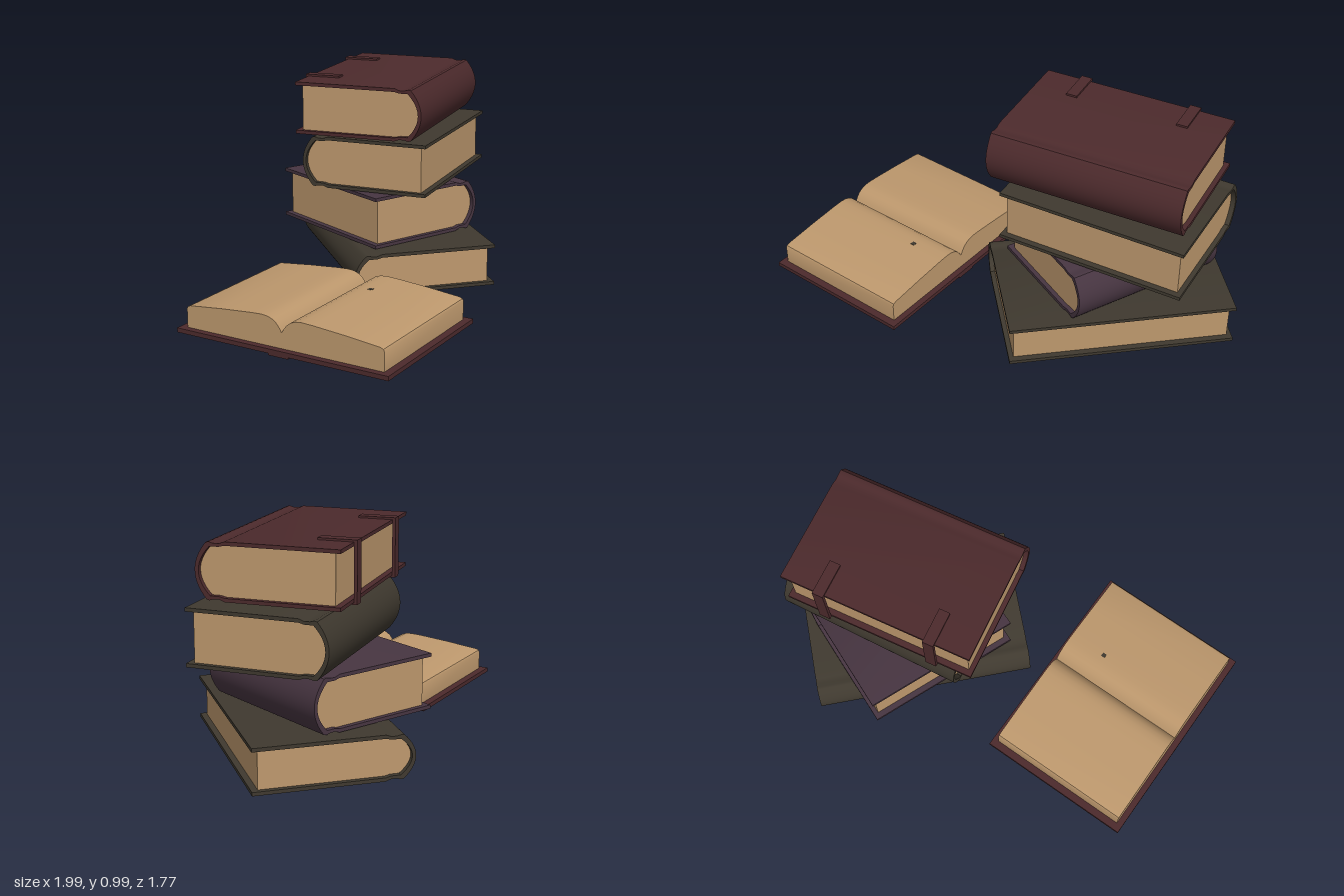
import * as THREE from 'three';
import { toCreasedNormals } from 'three/addons/utils/BufferGeometryUtils.js';

const mat = (name, color) => {
  const m = new THREE.MeshStandardMaterial({ color });
  m.name = name;
  return m;
};

// Extrude a (z, y) outline along x, centred on x = 0
function slab(name, points, length, material) {
  const shape = new THREE.Shape(points.map(([z, y]) => new THREE.Vector2(z, y)));
  const geo = new THREE.ExtrudeGeometry(shape, { depth: length, bevelEnabled: false });
  geo.translate(0, 0, -length / 2);
  geo.rotateY(-Math.PI / 2);
  const mesh = new THREE.Mesh(toCreasedNormals(geo, 0.6), material);
  mesh.name = name;
  return mesh;
}

// Rounded back: points from top to bottom, bulging to z = edge
function spineArc(edge, half, bulge) {
  const pts = [];
  for (let i = 0; i <= 16; i++) {
    const s = 1 - i / 8;
    pts.push([edge - bulge * s * s, half * s]);
  }
  return pts;
}

const flip = (pts) => pts.map(([z, y]) => [z, -y]).reverse();

// Closed book lying flat, spine towards local +z
function closedBook(name, { length, width, height, y, x, z, angle, cover }, paper) {
  const book = new THREE.Group();
  book.name = name;
  const e = width / 2, h = height / 2, t = 0.016, bulge = 0.05;

  // One wrapped cover: boards, hinge grooves and rounded spine
  const boardTop = [[-e, h], [e - 0.13, h], [e - 0.105, h - 0.009], [e - 0.08, h - 0.008], [e - 0.062, h - 0.003]];
  const outer = [...boardTop, ...spineArc(e, h - 0.006, bulge), ...flip(boardTop)];
  const inner = [[-e, h - t], [e - 0.13, h - t], [e - 0.105, h - t - 0.006],
    ...spineArc(e - t, h - t - 0.006, bulge),
    [e - 0.105, -h + t + 0.006], [e - 0.13, -h + t], [-e, -h + t]];
  book.add(slab('cover', [...outer, ...inner.slice().reverse()], length, cover));

  // Page block, set in from the boards
  const f = -e + 0.028;
  const pages = [[f, h - t], ...inner.slice(1, -1), [f, -h + t]];
  book.add(slab('pages', pages, length - 0.044, paper));

  book.position.set(x, y + h, z);
  book.rotation.y = THREE.MathUtils.degToRad(angle);
  return book;
}

// Straps folded round the fore edge
function addStraps(book, { width, height, cover }) {
  const e = width / 2, h = height / 2;
  const back = -e - 0.014, tip = -e + 0.155, o = h + 0.009;
  const outline = [[tip, o], [back, o], [back, -o], [tip, -o], [tip, -h], [-e, -h], [-e, h], [tip, h]];
  for (const side of [-1, 1]) {
    const strap = slab('strap', outline, 0.052, cover);
    strap.position.x = side * 0.265;
    book.add(strap);
  }
}

function openBook(cover, paper, ink) {
  const book = new THREE.Group();
  book.name = 'openBook';

  const boards = new THREE.Mesh(new THREE.BoxGeometry(0.754, 0.02, 1.054), cover);
  boards.name = 'openCover';
  boards.position.y = 0.025;
  const spine = new THREE.Mesh(new THREE.BoxGeometry(0.754, 0.01, 0.1), cover);
  spine.name = 'openSpine';
  spine.position.y = 0.012;

  // Two swelling page halves meeting in the gutter
  const half = [[0.492, 0.034], [0.492, 0.122], [0.487, 0.131], [0.474, 0.137], [0.3, 0.155],
    [0.15, 0.167], [0.1, 0.169], [0.07, 0.166], [0.045, 0.157], [0.025, 0.142], [0.01, 0.122]];
  const outline = [...half, [0, 0.105], ...half.map(([z, y]) => [-z, y]).reverse()];
  const pages = slab('openPages', outline, 0.695, paper);

  // Small ink mark on the near page
  const mark = new THREE.Mesh(new THREE.BoxGeometry(0.02, 0.006, 0.02), ink);
  mark.name = 'inkMark';
  mark.position.set(0.16, 0.166, 0.13);

  book.add(boards, spine, pages, mark);
  book.position.set(-0.485, 0, 0.265);
  book.rotation.y = THREE.MathUtils.degToRad(16.9);
  return book;
}

export function createModel() {
  const paper = mat('paper', 0xbd986d);
  const red = mat('red leather', 0x4c2a2c);
  const purple = mat('purple leather', 0x473541);
  const olive = mat('olive leather', 0x3f392f);

  const model = new THREE.Group();
  model.name = 'bookStack';

  // Stack from bottom to top
  const top = { length: 0.91, width: 0.62, height: 0.247, y: 0.734, x: 0.4, z: -0.275, angle: 27.4, cover: red };
  model.add(
    closedBook('bottomBook', { length: 1.038, width: 0.69, height: 0.2, y: 0.003, x: 0.435, z: -0.274, angle: 243.3, cover: olive }, paper),
    closedBook('secondBook', { length: 0.753, width: 0.628, height: 0.247, y: 0.206, x: 0.38, z: -0.328, angle: 85, cover: purple }, paper),
    closedBook('thirdBook', { length: 0.88, width: 0.625, height: 0.25, y: 0.458, x: 0.463, z: -0.292, angle: 205.4, cover: olive }, paper),
  );
  const topBook = closedBook('topBook', top, paper);
  addStraps(topBook, top);
  model.add(topBook, openBook(red, paper, olive));
  return model;
}
